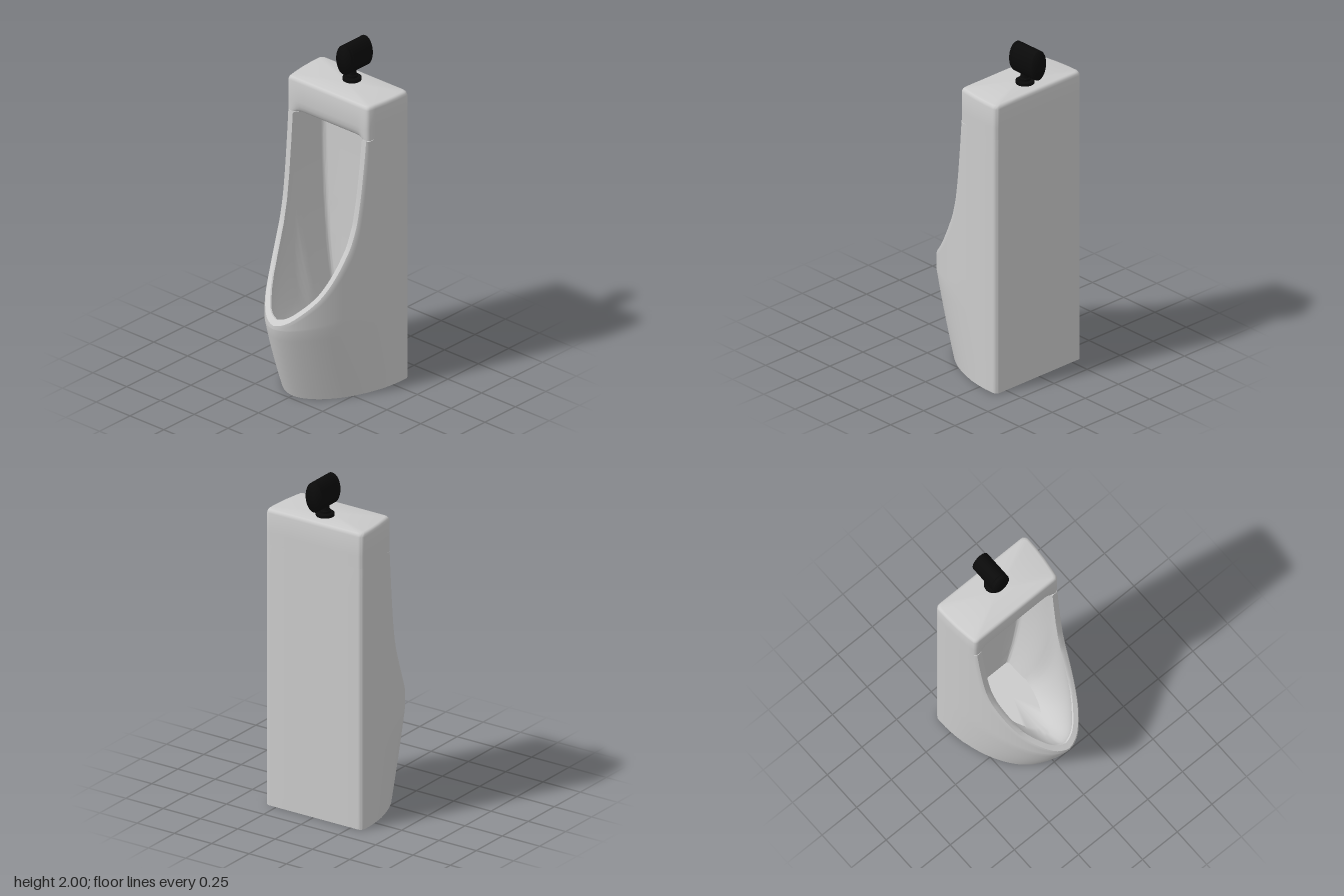
import * as THREE from 'three';
import { toCreasedNormals } from 'three/addons/utils/BufferGeometryUtils.js';

const BACK = -0.38, HALF = 0.325, TOP = 1.56;
const V = (x, y, z) => new THREE.Vector3(x, y, z);
const lerp = THREE.MathUtils.lerp;

// half width of the plan outline at depth z
const outline = z => {
  const t = Math.min(Math.max((z + 0.33) / 0.72, 0), 1);
  return HALF * Math.pow(1 - Math.pow(t, 1.9), 0.55);
};

// side profile of the sloping front cut: [y, z]
const cut = [[0.482, 0.39], [0.487, 0.386], [0.5, 0.37], [0.525, 0.342], [0.57, 0.295], [0.61, 0.25], [0.66, 0.2],
  [0.73, 0.147], [0.8, 0.103], [0.86, 0.07], [0.93, 0.035], [1.05, -0.002], [1.2, -0.027], [1.4, -0.05], [TOP, -0.065]];
const cutZ = y => {
  const i = Math.max(1, cut.findIndex(p => p[0] >= y));
  const [a, b] = [cut[i - 1], cut[i]];
  return lerp(a[1], b[1], (y - a[0]) / (b[0] - a[0]));
};

// half columns (x >= 0, back centre to front centre) completed by mirroring
function mirror(half) {
  const other = half.slice(1, -1).reverse().map(col => col.map(p => V(-p.x, p.y, p.z)));
  return [...half, ...other];
}

// closed skin over a ring of columns
function skin(cols, crease = 0.7) {
  const n = cols.length, m = cols[0].length, pos = [], idx = [];
  cols.forEach(col => col.forEach(p => pos.push(p.x, p.y, p.z)));
  for (let c = 0; c < n; c++) for (let j = 0; j < m - 1; j++) {
    const a = c * m + j, d = ((c + 1) % n) * m + j;
    idx.push(a, a + 1, d, a + 1, d + 1, d);
  }
  const g = new THREE.BufferGeometry();
  g.setAttribute('position', new THREE.Float32BufferAttribute(pos, 3));
  g.setIndex(idx);
  return toCreasedNormals(g, crease);
}

// plan points: flat back, rounded corner
function backPlan(w, z, r) {
  const pts = [[0, z], [w * 0.5, z]];
  for (let i = 0; i <= 6; i++) {
    const a = i / 6 * Math.PI / 2;
    pts.push([w - r + r * Math.sin(a), z + r - r * Math.cos(a)]);
  }
  return pts;
}

// one column: base, outer wall, rim, cavity wall, floor
function bodyColumn(outer, inner) {
  const FLOOR = 0.3, KNEE = 0.47;
  const col = [V(0, 0, -0.15)];
  const wall = y => {
    const s = Math.min(y / KNEE, 1), k = 0.775 + 0.225 * s * (1.2 - 0.2 * s);
    return V(outer.x, y, outer.z > -0.33 ? -0.33 + (outer.z + 0.33) * k : outer.z);
  };
  const rimOut = outer.clone();
  if (outer.z > -0.066) { outer = outer.clone().add(V(0, -0.006, -0.01)); }
  for (let i = 0; i < 7; i++) col.push(wall(KNEE * i / 7));
  for (let i = 0; i <= 8; i++) col.push(wall(lerp(KNEE, outer.y, i / 8)));
  for (const t of [0.22, 0.5, 0.82]) col.push(rimOut.clone().lerp(inner, t));
  const fx = inner.x * 0.48, fz = -0.28 + (inner.z + 0.3) * 0.63;
  for (let i = 0; i <= 18; i++) {
    const t = 1 - i / 18, e = 1 - Math.pow(1 - t, 2.5);
    const y = lerp(FLOOR, inner.y - 0.008, t);
    col.push(V(lerp(fx, inner.x, e), y, lerp(fz, inner.z, e)));
  }
  col.push(V(0, FLOOR, -0.1));
  return col;
}

function bodyGeometry() {
  const half = [];
  // back and side columns under the header
  const o = backPlan(HALF, BACK, 0.03), n = backPlan(0.24, -0.3, 0.03);
  [[-0.28, -0.22], [-0.2, -0.16], [-0.12, -0.1]].forEach(([zo, zi], i) => {
    o.push([outline(zo), zo]);
    n.push([0.241 + i * 0.003, zi]);
  });
  o.forEach((p, i) => half.push(bodyColumn(V(p[0], TOP, p[1]), V(n[i][0], TOP, n[i][1]))));
  // columns along the rim of the opening
  const side = cut.slice().reverse().map(([y, z]) => V(outline(z), y, z));
  const rim = new THREE.CatmullRomCurve3([...side, ...side.slice(0, -1).reverse().map(p => V(-p.x, p.y, p.z))]);
  rim.arcLengthDivisions = 600;
  const N = 48;
  for (let i = 0; i <= N; i++) {
    const u = i / N / 2, p = rim.getPointAt(u), t = rim.getTangentAt(u);
    const l = Math.hypot(t.x, t.y);
    const y = Math.min(p.y - t.x / l * 0.042, TOP);
    const q = V(Math.max(p.x + t.y / l * 0.042, 0), y, cutZ(y));
    if (i === N) p.x = q.x = 0;
    half.push(bodyColumn(p, q));
  }
  return skin(mirror(half));
}

// block above the opening, with a soft lip at its lower front edge
function headerGeometry() {
  const plan = backPlan(HALF, BACK, 0.03);
  for (const z of [-0.28, -0.2, -0.12, -0.082]) plan.push([outline(z), z]);
  plan.push([0.294, -0.073], [0.285, -0.068]);
  for (const x of [0.27, 0.25, 0.235, 0.215, 0.18, 0.12, 0.06, 0]) plan.push([x, -0.067]);
  const rows = [[TOP, 0, 0.035], [1.565, 0, 0.022], [1.58, 0, 0.012], [1.6, 0, 0.005], [1.63, 0, 0],
    [1.745, 0, 0], [1.757, 0.003, 0], [1.765, 0.009, 0], [1.768, 0.018, 0]];
  const half = plan.map(([x, z]) => {
    const lip = z > -0.0675 ? 1 - THREE.MathUtils.smoothstep(x, 0.2, 0.27) : 0;
    return [V(0, TOP, -0.22),
      ...rows.map(([y, d, b]) => V(x * (1 - d / 0.3), y, -0.225 + (z + 0.225) * (1 - d / 0.155) - b * lip)),
      V(0, 1.768, -0.225)];
  });
  return skin(mirror(half));
}

export function createModel() {
  const group = new THREE.Group();
  const ceramic = new THREE.MeshStandardMaterial({ color: 0xcccccc });
  const black = new THREE.MeshStandardMaterial({ color: 0x0a0a0a });
  const add = (name, geo, mat, x = 0, y = 0, z = 0) => {
    const m = new THREE.Mesh(geo, mat);
    m.name = name;
    m.position.set(x, y, z);
    group.add(m);
    return m;
  };
  const turned = pts => toCreasedNormals(
    new THREE.LatheGeometry(pts.map(p => new THREE.Vector2(...p)), 40), 0.6);

  add('bowlBody', bodyGeometry(), ceramic);
  add('header', headerGeometry(), ceramic);

  // water outlet under the header
  add('waterOutlet', new THREE.SphereGeometry(1, 32, 16), black, 0, 1.553, -0.18).scale.set(0.04, 0.018, 0.04);

  // flush valve: collar and neck, then an oval head lying along z
  add('valveCollar', turned([[0, 0], [0.052, 0], [0.052, 0.018], [0.047, 0.022], [0.032, 0.022],
    [0.032, 0.034], [0.025, 0.038], [0.025, 0.075], [0, 0.075]]), black, 0, 1.766, -0.268);
  const head = turned([[0, 0], [0.97, 0], [1, 0.004], [1, 0.158], [0.97, 0.16], [0.97, 0.163], [1, 0.165],
    [1, 0.178], [0.94, 0.185], [0, 0.185]]);
  head.rotateX(Math.PI / 2);
  add('valveHead', head, black, 0, 1.91, BACK).scale.set(0.055, 0.09, 1);
  return group;
}
